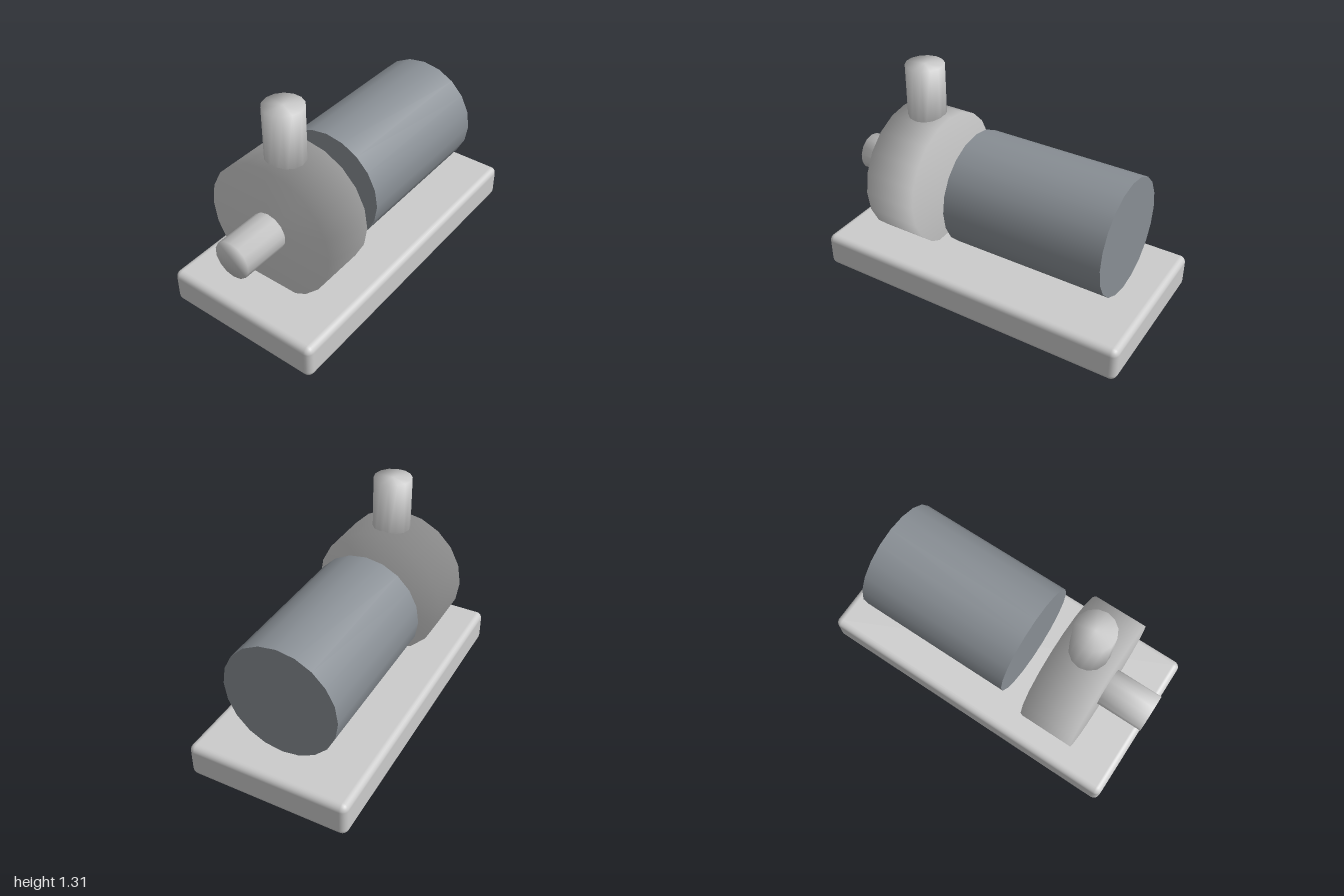
import * as THREE from 'three';
import { RoundedBoxGeometry } from 'three/addons/geometries/RoundedBoxGeometry.js';

const grey = new THREE.MeshStandardMaterial({ color: 0xcccccc });
const motorGrey = new THREE.MeshStandardMaterial({ color: 0x888e94 });
const AXIS_Y = 0.588; // height of the shaft line

// Cylinder whose normals blend across the rims; k is the pull towards the radial direction
function softCylinder(radius, length, sides, k) {
  const geo = new THREE.CylinderGeometry(radius, radius, length, sides);
  const { position, normal } = geo.attributes;
  const n = new THREE.Vector3();
  for (let i = 0; i < position.count; i++) {
    n.set(position.getX(i) / radius * k, Math.sign(position.getY(i)), position.getZ(i) / radius * k).normalize();
    normal.setXYZ(i, n.x, n.y, n.z);
  }
  return geo;
}

export function createModel() {
  const model = new THREE.Group();
  model.name = 'pump';

  const add = (name, geometry, material, x, y) => {
    const mesh = new THREE.Mesh(geometry, material);
    mesh.name = name;
    mesh.position.set(x, y, 0);
    model.add(mesh);
  };

  // Base plate with rounded edges
  add('basePlate', new RoundedBoxGeometry(2, 0.216, 1, 3, 0.04), grey, 0, 0.108);

  // Motor lying along x
  add('motor', new THREE.CylinderGeometry(0.353, 0.353, 1, 20).rotateZ(-Math.PI / 2), motorGrey, 0.302, AXIS_Y);

  // Round pump casing, sunk slightly into the base
  add('pumpCasing', softCylinder(0.413, 0.336, 20, 0.16).rotateZ(-Math.PI / 2), grey, -0.542, AXIS_Y);

  // Inlet pipe out of the casing's side
  const inletLength = 0.4;
  add('inletPipe', softCylinder(0.116, inletLength, 14, 1.5).rotateY(Math.PI / 2).rotateZ(Math.PI / 2),
    grey, -1 + inletLength / 2, AXIS_Y);

  // Outlet pipe out of the casing's top
  const outletLength = 0.46;
  add('outletPipe', softCylinder(0.116, outletLength, 14, 1.5), grey, -0.542, 1.31 - outletLength / 2);

  return model;
}
